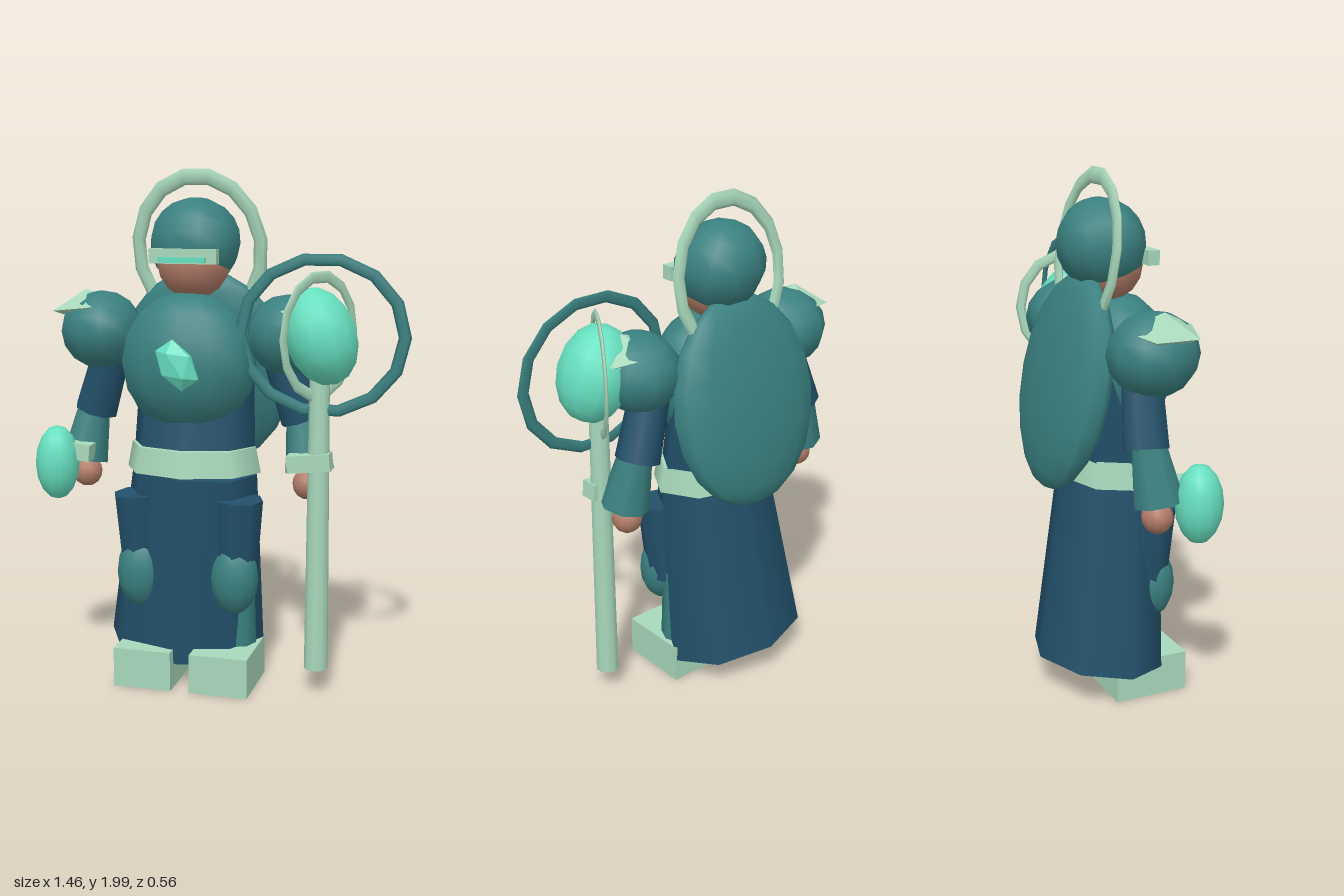
import * as THREE from 'three';

const mat = (name, color) => {
  const m = new THREE.MeshStandardMaterial({ color });
  m.name = name;
  return m;
};

export function createModel() {
  const teal = mat('teal armour', 0x3a8080);
  const navy = mat('navy cloth', 0x22506a);
  const mint = mat('pale mint trim', 0xa8d8bb);
  const glow = mat('bright mint crystal', 0x66dfbf);
  const skin = mat('skin', 0xb27c68);
  teal.side = THREE.DoubleSide; // the hood is open below

  const model = new THREE.Group();
  const MID = -0.12; // body axis

  function add(name, geo, material, pos, rot = [0, 0, 0], scale = [1, 1, 1]) {
    const mesh = new THREE.Mesh(geo, material);
    mesh.name = name;
    mesh.position.set(...pos);
    mesh.rotation.set(...rot);
    mesh.scale.set(...scale);
    model.add(mesh);
    return mesh;
  }
  const ball = (name, material, pos, radii, rot, w = 12, h = 8) =>
    add(name, new THREE.SphereGeometry(1, w, h), material, pos, rot, radii);
  const box = (name, material, pos, size, rot) =>
    add(name, new THREE.BoxGeometry(...size), material, pos, rot);

  // Faceted five-sided double pyramid
  function spikeGeometry(radius, halfHeight) {
    const profile = [[0, -halfHeight], [radius, 0], [0, halfHeight]].map((p) => new THREE.Vector2(...p));
    const geo = new THREE.LatheGeometry(profile, 5).toNonIndexed();
    geo.computeVertexNormals();
    return geo;
  }

  // Tapered limb running from point a to point b
  function limb(name, material, a, b, ra, rb, sides = 8) {
    const A = new THREE.Vector3(...a), B = new THREE.Vector3(...b);
    const dir = A.clone().sub(B);
    const mesh = add(name, new THREE.CylinderGeometry(ra, rb, dir.length(), sides), material,
      A.clone().add(B).multiplyScalar(0.5).toArray());
    mesh.quaternion.setFromUnitVectors(new THREE.Vector3(0, 1, 0), dir.normalize());
  }

  // Head, hood and visor
  ball('face', skin, [MID, 1.645, 0.022], [0.143, 0.14, 0.13]);
  add('hood', new THREE.SphereGeometry(1, 10, 7, 0, Math.PI * 2, 0, Math.PI * 0.7), teal,
    [MID, 1.715, -0.002], [-0.3, 0, 0], [0.178, 0.172, 0.165]);
  box('visor', mint, [MID, 1.672, 0.15], [0.26, 0.055, 0.045]);
  box('visorSlit', glow, [MID, 1.659, 0.179], [0.18, 0.02, 0.014]);

  // Open halo behind the head
  const haloArc = Math.PI * 1.42;
  const haloGeo = new THREE.TorusGeometry(0.246, 0.027, 6, 11, haloArc);
  haloGeo.rotateZ(Math.PI / 2 - haloArc / 2);
  add('halo', haloGeo, mint, [MID, 1.685, -0.06], [0.15, 0, 0], [1, 1.16, 0.5]);

  // Torso, chest plate and back shell
  add('torso', new THREE.CylinderGeometry(0.225, 0.247, 0.5, 8), navy, [MID, 1.1, 0], [-0.12, 0, 0], [1, 1, 0.68]);
  ball('chestPlate', teal, [-0.13, 1.268, 0.065], [0.27, 0.27, 0.19]);
  add('chestGem', new THREE.IcosahedronGeometry(1, 0), glow,
    [-0.12, 1.277, 0.245], [0, 0, 0.6], [0.075, 0.105, 0.038]);
  ball('backShell', teal, [MID, 1.215, -0.15], [0.345, 0.41, 0.095], [0.21, 0, 0], 14, 10);

  // Belt, and a robe swept back and to one side
  add('belt', new THREE.CylinderGeometry(0.25, 0.27, 0.1, 8), mint, [MID, 0.893, 0.032], [0, 0, 0], [1, 1, 0.72]);
  add('robe', new THREE.CylinderGeometry(0.25, 0.32, 0.74, 8), navy,
    [-0.143, 0.485, -0.005], [0.095, 0, -0.075], [1, 1, 0.75]);

  // Paired limbs, mirrored about the body axis
  for (const s of [-1, 1]) {
    const side = s < 0 ? 'right' : 'left';
    const X = (d) => MID + s * d;

    ball(side + 'Pauldron', teal, [X(0.372), 1.378, 0.027], [0.16, 0.152, 0.17], undefined, 10, 8);
    // A base corner points inward, an edge faces outward
    add(side + 'ShoulderSpike', spikeGeometry(0.14, 0.068), mint,
      [X(0.425), 1.468, 0.038], [0, -s * Math.PI / 2, -s * 0.12]).rotation.order = 'ZYX';

    limb(side + 'UpperArm', navy, [X(0.33), 1.33, 0], [X(0.42), 1.05, -0.02], 0.075, 0.086);
    limb(side + 'Forearm', teal, [X(0.42), 1.09, -0.015], [X(0.458), 0.86, 0.015], 0.062, 0.096);
    ball(side + 'Hand', skin, [X(0.45), 0.805, 0.012], [0.06, 0.06, 0.058]);
    box(side + 'Bracer', mint, [X(0.475), 0.91, 0.108], [0.165, 0.065, 0.07], [0, 0, s * 0.1]);

    limb(side + 'Thigh', navy, [X(0.205), 0.755, 0.115], [X(0.19), 0.42, 0.1], 0.094, 0.08);
    ball(side + 'KneeGuard', teal, [X(0.19), 0.445, 0.125], [0.095, 0.145, 0.085]);
    limb(side + 'Shin', teal, [X(0.175), 0.46, 0.03], [X(0.17), 0.1, 0.03], 0.07, 0.085);
    box(side + 'Boot', mint, [X(0.153), 0.078, 0.094], [0.23, 0.155, 0.292]);
  }

  // Oval crystal carried beside the right hand
  ball('handCrystal', glow, [-0.646, 0.862, 0.137], [0.086, 0.147, 0.088]);

  // Staff with crystal head and two crossing rings
  add('staff', new THREE.CylinderGeometry(0.038, 0.046, 1.15, 10), mint, [0.387, 0.675, 0.095]);
  ball('staffCrystal', glow, [0.39, 1.385, 0.105], [0.135, 0.186, 0.152], [0, 0, 0.35]);
  add('largeRing', new THREE.TorusGeometry(0.308, 0.024, 6, 14), teal,
    [0.393, 1.387, 0.104], [0, 0, 0], [1, 0.92, 0.3]);
  add('smallRing', new THREE.TorusGeometry(0.2, 0.02, 6, 14), mint,
    [0.383, 1.383, 0.088], [0, 1.056, 0], [1, 1.11, 0.35]);

  return model;
}
